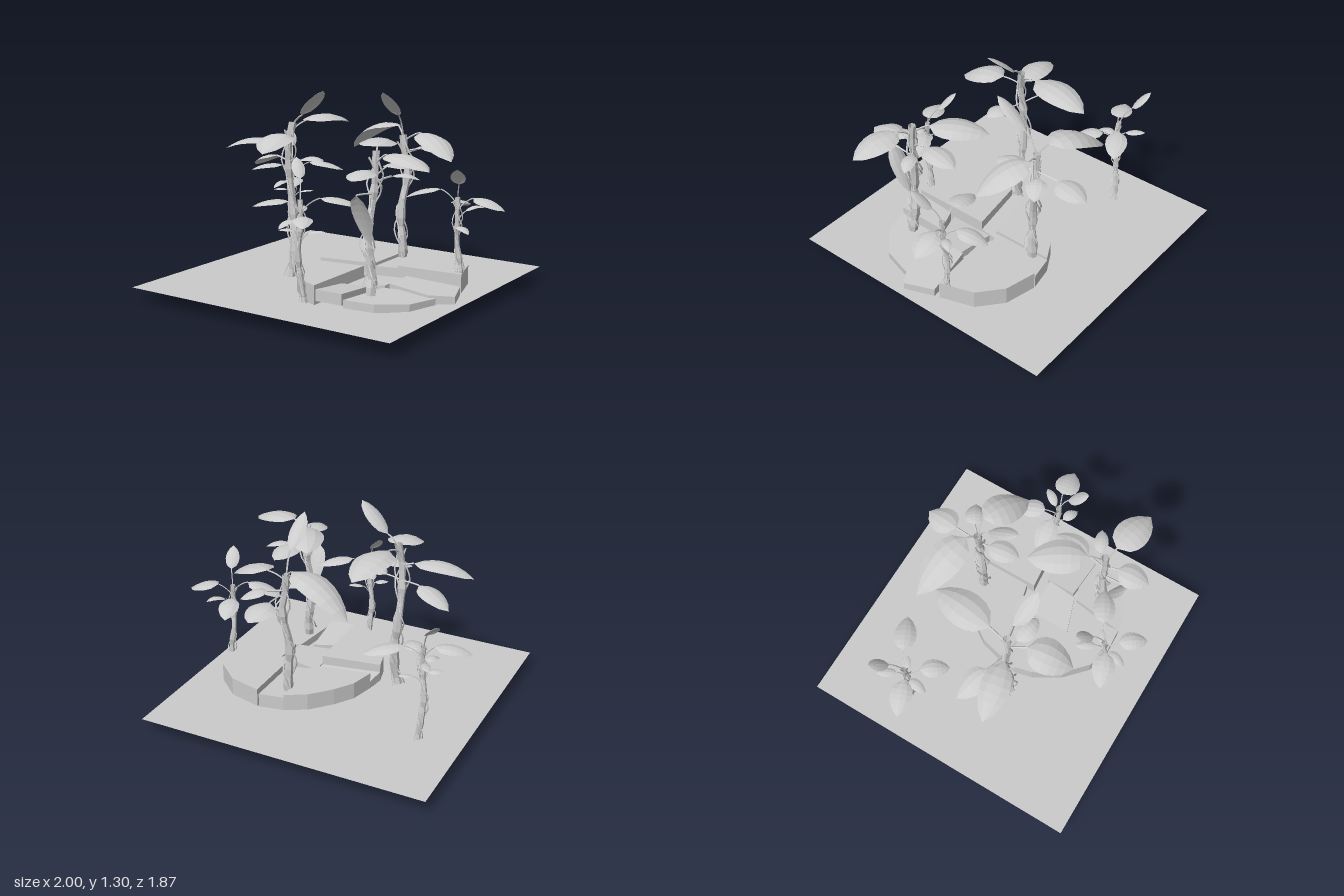
import * as THREE from 'three';

const mat = new THREE.MeshStandardMaterial({ color: 0xcccccc, flatShading: true, side: THREE.DoubleSide });
const V = (p) => new THREE.Vector3(...p);

function add(parent, geometry, name) {
  const mesh = new THREE.Mesh(geometry, mat);
  mesh.name = name;
  parent.add(mesh);
  return mesh;
}

// Leaf blade: a grid bent along an arched midrib, edges dropping to each side
function bladeGeometry(start, tip, width, arch) {
  const g = new THREE.PlaneGeometry(1, 1, 4, 7);
  const pos = g.attributes.position;
  const mid = start.clone().lerp(tip, 0.5);
  mid.y += arch * 2;
  const rib = new THREE.QuadraticBezierCurve3(start, mid, tip);
  const dir = tip.clone().sub(start);
  const side = new THREE.Vector3(dir.z, 0, -dir.x).normalize();
  const normal = dir.clone().normalize().cross(side);
  for (let i = 0; i < pos.count; i++) {
    const u = pos.getX(i) * 2;
    const t = pos.getY(i) + 0.5;
    const w = width / 2 * Math.pow(Math.max(0, Math.sin(Math.PI * Math.pow(t, 0.85))), 0.65);
    const p = rib.getPoint(t).addScaledVector(side, u * w).addScaledVector(normal, -0.3 * u * u * w);
    pos.setXYZ(i, p.x, p.y, p.z);
  }
  g.computeVertexNormals();
  return g;
}

// Tapered tube with knots along its length
function stemGeometry(curve, radius, segments, sides) {
  const g = new THREE.TubeGeometry(curve, segments, radius, sides);
  const pos = g.attributes.position;
  for (let i = 0; i < pos.count; i++) {
    const t = Math.floor(i / (sides + 1)) / segments;
    const k = (1 - 0.3 * t) * (1 + 0.28 * Math.sin(t * 37) * Math.sin(t * 11));
    const c = curve.getPointAt(t);
    const p = new THREE.Vector3().fromBufferAttribute(pos, i).sub(c).multiplyScalar(k).add(c);
    pos.setXYZ(i, p.x, p.y, p.z);
  }
  g.computeVertexNormals();
  return g;
}

function plant(parent, name, { stem, radius, leaves, offset = [0, 0, 0] }) {
  const group = new THREE.Group();
  group.name = name;
  group.position.set(...offset);
  parent.add(group);

  const curve = new THREE.CatmullRomCurve3(stem.map(V));
  add(group, stemGeometry(curve, radius, 18, 6), 'stem');

  // Thin creepers winding round the stem
  for (let k = 0; k < 3; k++) {
    const points = [];
    for (let i = 0; i <= 14; i++) {
      const t = 0.06 + 0.9 * i / 14;
      const a = k * 2.1 + t * (7 + k * 2);
      const r = radius * (1.15 + 0.5 * Math.sin(i * 1.7 + k));
      const p = curve.getPointAt(t);
      points.push(p.add(new THREE.Vector3(Math.cos(a) * r, 0, Math.sin(a) * r)));
    }
    add(group, new THREE.TubeGeometry(new THREE.CatmullRomCurve3(points), 24, radius * 0.2, 4), 'creeper');
  }

  // Leaves, each on a thin stalk that leaves the stem a little lower down
  const low = stem[0][1];
  const high = stem[stem.length - 1][1];
  for (const [sx, sy, sz, tx, ty, tz, width, arch = 0.025] of leaves) {
    const start = V([sx, sy, sz]);
    const t = THREE.MathUtils.clamp((sy - 0.1 - low) / (high - low), 0.1, 0.97);
    const root = curve.getPoint(t);
    const bend = root.clone().lerp(start, 0.4);
    bend.y = root.y + (sy - root.y) * 0.75;
    const stalk = new THREE.QuadraticBezierCurve3(root, bend, start);
    add(group, new THREE.TubeGeometry(stalk, 6, radius * 0.2, 4), 'stalk');
    add(group, bladeGeometry(start, V([tx, ty, tz]), width, arch), 'leaf');
  }
}

// Broken paving slab from an x/z outline, its top tilted by slopes along x and z
function slab(parent, outline, bottom, top, slopeX = 0, slopeZ = 0) {
  const shape = new THREE.Shape(outline.map(([x, z]) => new THREE.Vector2(x, -z)));
  const g = new THREE.ExtrudeGeometry(shape, { depth: top - bottom, bevelEnabled: false });
  g.rotateX(-Math.PI / 2).translate(0, bottom, 0);
  const [cx, cz] = outline[0];
  const pos = g.attributes.position;
  for (let i = 0; i < pos.count; i++) {
    pos.setY(i, pos.getY(i) + slopeX * (pos.getX(i) - cx) + slopeZ * (pos.getZ(i) - cz));
  }
  g.computeVertexNormals();
  add(parent, g, 'slab');
}

export function createModel() {
  const model = new THREE.Group();

  // Ground sheet
  const ground = new THREE.PlaneGeometry(1.88, 1.87).rotateX(-Math.PI / 2).translate(-0.06, 0.1, -0.005);
  add(model, ground, 'groundSheet');

  // Cracked round paving
  const paving = new THREE.Group();
  paving.name = 'paving';
  model.add(paving);
  slab(paving, [[0.15, -0.05], [-0.22, 0.02], [-0.18, -0.14], [-0.1, -0.26], [0.02, -0.39], [0.15, -0.46]], 0.1, 0.21);
  slab(paving, [[0.15, -0.06], [0.15, -0.46], [0.31, -0.49], [0.31, -0.1]], 0.1, 0.19);
  slab(paving, [[0.32, -0.05], [0.32, -0.49], [0.53, -0.44], [0.68, -0.31], [0.75, -0.09]], 0.1, 0.22);
  slab(paving, [[0.15, 0.07], [0.15, 0.6], [0.03, 0.55], [-0.11, 0.42], [-0.21, 0.25], [-0.24, 0.13]], 0.1, 0.22);
  slab(paving, [[-0.22, 0.02], [0.15, -0.05], [0.15, 0.07], [-0.24, 0.13]], 0.09, 0.15, 0, 0.15);
  slab(paving, [[0.16, 0.33], [0.32, 0.27], [0.34, 0.59], [0.16, 0.6]], 0.1, 0.17, 0, 0.1);
  slab(paving, [[0.16, 0.0], [0.42, 0.02], [0.4, 0.22], [0.16, 0.3]], 0.1, 0.15, 0.08);
  slab(paving, [[0.4, 0.24], [0.55, 0.18], [0.74, 0.2], [0.68, 0.4], [0.53, 0.54], [0.35, 0.59]], 0.11, 0.16, -0.06);
  slab(paving, [[0.42, 0], [0.76, -0.06], [0.83, 0.13], [0.7, 0.22], [0.42, 0.2]], 0.12, 0.18, -0.08);

  // Tall plants
  plant(model, 'tallPlantLeft', {
    radius: 0.03,
    stem: [[-0.36, 0.03, 0.17], [-0.33, 0.25, 0.15], [-0.35, 0.5, 0.13], [-0.37, 0.75, 0.14], [-0.36, 0.95, 0.16], [-0.34, 1.09, 0.14]],
    leaves: [
      [-0.33, 1.09, 0.02, -0.28, 1.04, -0.39, 0.23, 0.05],
      [-0.43, 0.96, 0.18, -0.8, 0.9, 0.25, 0.18, 0.05],
      [-0.31, 1.03, 0.26, -0.26, 0.95, 0.55, 0.23, 0.05],
      [-0.5, 0.86, 0.1, -0.73, 0.77, 0.02, 0.16, 0.03],
      [-0.27, 1.14, 0.14, -0.07, 1.31, 0.19, 0.13, 0.02],
      [-0.26, 0.86, 0.16, -0.07, 0.87, 0.2, 0.13, 0.03],
    ],
  });
  plant(model, 'tallPlantBack', {
    radius: 0.03,
    stem: [[0.13, 0.02, -0.37], [0.17, 0.2, -0.36], [0.16, 0.5, -0.35], [0.19, 0.75, -0.38], [0.17, 0.88, -0.37], [0.16, 0.99, -0.37]],
    leaves: [
      [0.1, 1.04, -0.41, -0.32, 0.85, -0.52, 0.23, 0.08],
      [0.18, 0.88, -0.54, 0.2, 0.84, -0.76, 0.18],
      [0.27, 1.01, -0.4, 0.58, 0.87, -0.25, 0.22, 0.05],
      [0.17, 1.12, -0.3, 0.18, 1.29, -0.09, 0.1, 0.015],
      [0.25, 0.9, -0.45, 0.39, 0.85, -0.53, 0.13],
      [0.18, 0.87, -0.31, 0.21, 0.86, -0.1, 0.15],
    ],
  });
  plant(model, 'tallPlantFront', {
    radius: 0.03,
    stem: [[0.43, 0.16, 0.42], [0.42, 0.3, 0.4], [0.4, 0.5, 0.41], [0.42, 0.75, 0.38], [0.43, 0.88, 0.38], [0.43, 1.01, 0.37]],
    leaves: [
      [0.38, 1.02, 0.28, 0.19, 0.99, -0.04, 0.23, 0.04],
      [0.43, 0.9, 0.26, 0.46, 0.87, 0.01, 0.17],
      [0.52, 1.0, 0.4, 0.84, 0.94, 0.47, 0.21, 0.04],
      [0.44, 0.91, 0.46, 0.46, 0.88, 0.67, 0.17],
      [0.5, 0.86, 0.31, 0.65, 0.84, 0.24, 0.09],
      [0.42, 0.78, 0.56, 0.43, 0.46, 0.42, 0.13, 0.03],
    ],
  });

  // Small plants: two share one form, the third grows its own way
  const small = {
    radius: 0.02,
    stem: [[0.02, 0.06, -0.02], [0, 0.2, -0.01], [-0.01, 0.4, 0.01], [0.01, 0.58, 0.01], [0, 0.72, 0]],
    leaves: [
      [-0.04, 0.83, -0.06, -0.13, 0.94, -0.14, 0.08, 0.01],
      [-0.05, 0.71, 0.04, -0.26, 0.67, 0.12, 0.14],
      [0.1, 0.73, -0.06, 0.31, 0.68, -0.17, 0.14],
      [0.07, 0.64, 0.07, 0.18, 0.61, 0.22, 0.12],
      [-0.02, 0.54, 0.03, -0.1, 0.54, 0.08, 0.06, 0.01],
      [-0.01, 0.6, 0.04, -0.03, 0.57, 0.17, 0.07],
      [0.04, 0.52, -0.02, 0.13, 0.53, -0.07, 0.05, 0.01],
      [-0.02, 0.64, -0.04, -0.09, 0.65, -0.15, 0.06, 0.01],
    ],
  };
  plant(model, 'smallPlantFront', { ...small, offset: [0.055, 0, 0.6] });
  plant(model, 'smallPlantBack', { ...small, offset: [-0.73, 0, -0.365] });
  plant(model, 'smallPlantRight', {
    radius: 0.02,
    stem: [[0.68, 0.01, -0.1], [0.72, 0.22, -0.13], [0.7, 0.4, -0.12], [0.71, 0.55, -0.1], [0.71, 0.69, -0.1]],
    leaves: [
      [0.74, 0.78, -0.06, 0.79, 0.89, 0.06, 0.09, 0.01],
      [0.8, 0.69, -0.13, 1.0, 0.63, -0.15, 0.16],
      [0.67, 0.64, -0.18, 0.61, 0.58, -0.37, 0.13],
      [0.6, 0.73, -0.09, 0.37, 0.66, -0.06, 0.14],
      [0.72, 0.51, -0.07, 0.83, 0.49, -0.02, 0.07],
      [0.74, 0.6, -0.14, 0.82, 0.61, -0.25, 0.06],
    ],
  });
  return model;
}
